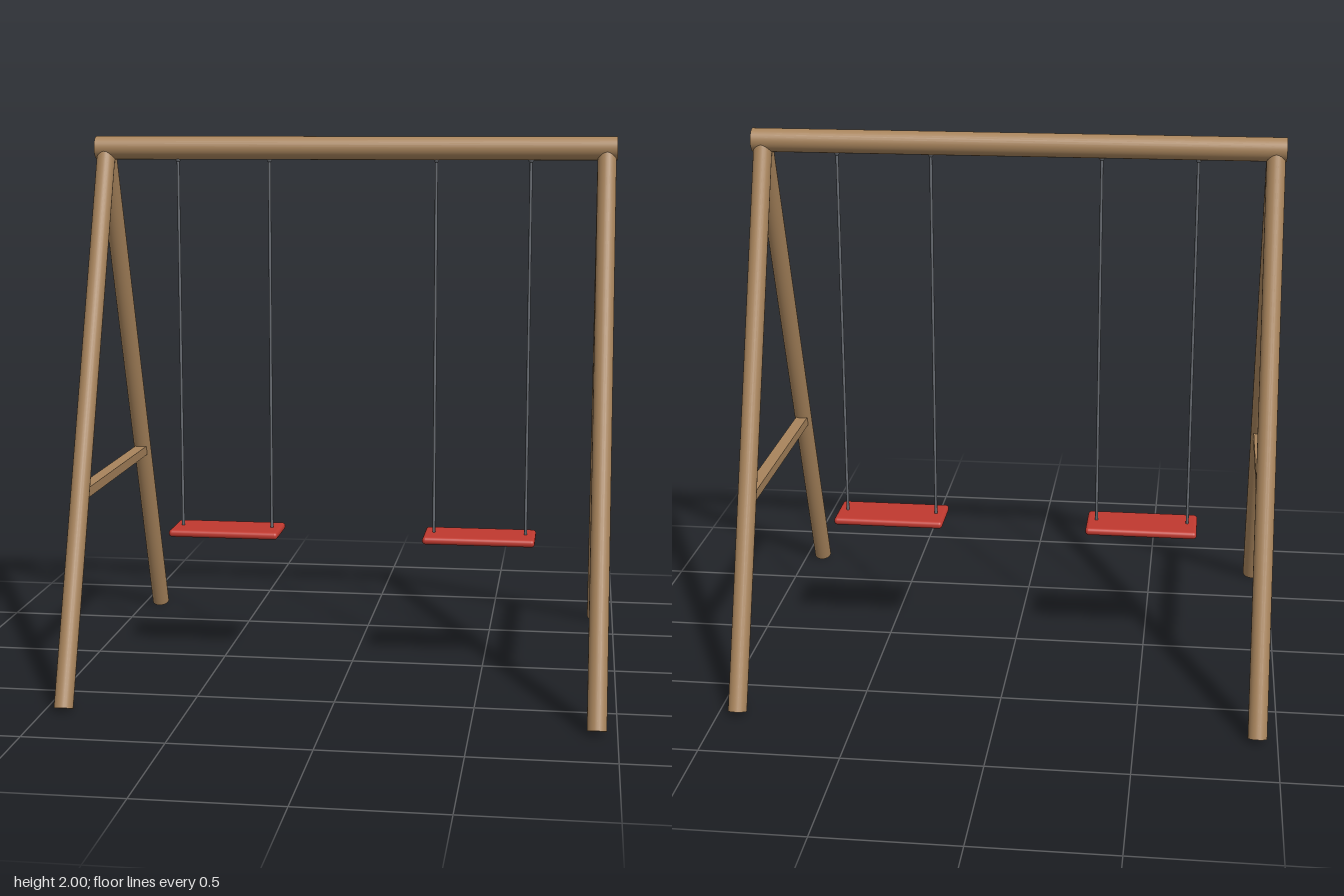
import * as THREE from 'three';
import { RoundedBoxGeometry } from 'three/addons/geometries/RoundedBoxGeometry.js';

const wood = new THREE.MeshStandardMaterial({ color: 0xa8845c });
const red = new THREE.MeshStandardMaterial({ color: 0xc0392f });
const steel = new THREE.MeshStandardMaterial({ color: 0x666a70 });

const BEAM_Y = 1.957;
const BEAM_R = 0.043;
const UP = new THREE.Vector3(0, 1, 0);

function add(parent, name, geometry, material, x = 0, y = 0, z = 0) {
  const mesh = new THREE.Mesh(geometry, material);
  mesh.name = name;
  mesh.position.set(x, y, z);
  parent.add(mesh);
  return mesh;
}

// Round bar between two points
function bar(parent, name, from, to, radius, material, sides = 24) {
  const a = new THREE.Vector3(...from);
  const dir = new THREE.Vector3(...to).sub(a);
  const mesh = add(parent, name, new THREE.CylinderGeometry(radius, radius, dir.length(), sides), material);
  mesh.position.copy(a).addScaledVector(dir, 0.5);
  mesh.quaternion.setFromUnitVectors(UP, dir.normalize());
  return mesh;
}

// A-shaped end: two splayed legs and a cross brace
function endFrame(side) {
  const group = new THREE.Group();
  group.name = side > 0 ? 'leftFrame' : 'rightFrame';
  const x = side * 0.93;
  bar(group, 'frontLeg', [x, 0.012, 0.728], [x, BEAM_Y, 0], 0.034, wood);
  bar(group, 'backLeg', [x, 0.012, -0.728], [x, BEAM_Y, 0], 0.034, wood);
  add(group, 'crossBrace', new THREE.BoxGeometry(0.046, 0.036, 0.91), wood, x, 0.725, 0);
  return group;
}

// Seat hung from two rods with small hangers under the beam
function swing(side) {
  const group = new THREE.Group();
  group.name = side > 0 ? 'leftSwing' : 'rightSwing';
  const x = side * 0.484;
  add(group, 'seat', new RoundedBoxGeometry(0.42, 0.028, 0.196, 4, 0.013), red, x, 0.504, 0);
  for (const s of [-1, 1]) {
    const rx = x + s * 0.173;
    bar(group, 'rope', [rx, 0.505, 0], [rx, 1.93, 0], 0.0055, steel, 12);
    add(group, 'hanger', new THREE.SphereGeometry(0.01, 12, 8), steel, rx, 1.914, 0);
  }
  return group;
}

export function createModel() {
  const model = new THREE.Group();
  model.name = 'swingSet';
  bar(model, 'topBeam', [-0.968, BEAM_Y, 0], [0.968, BEAM_Y, 0], BEAM_R, wood, 32);
  for (const side of [-1, 1]) model.add(endFrame(side), swing(side));
  return model;
}
